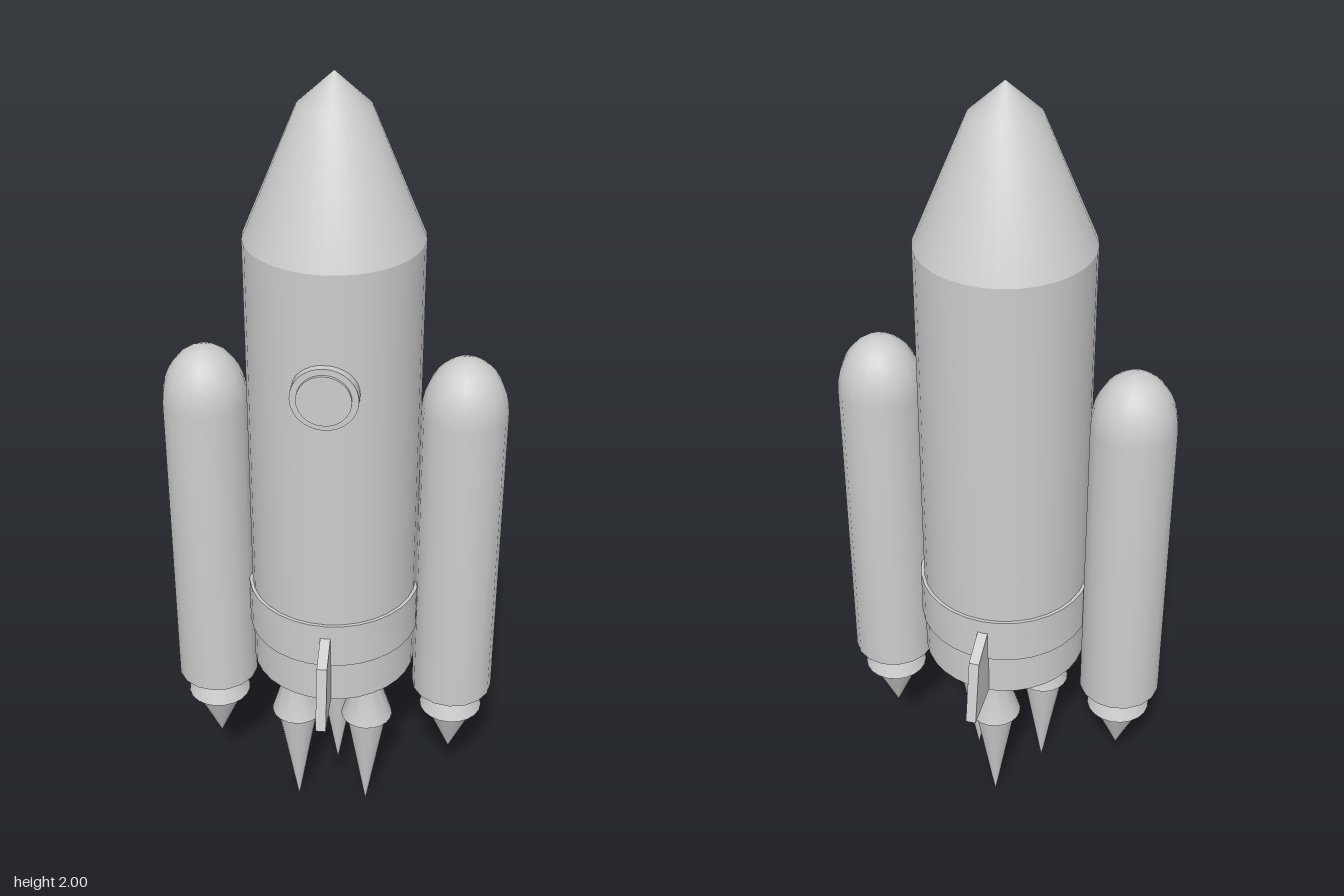
import * as THREE from 'three';
import { toCreasedNormals } from 'three/addons/utils/BufferGeometryUtils.js';

export function createModel() {
  const group = new THREE.Group();
  const grey = new THREE.MeshStandardMaterial({ color: 0xcccccc });
  grey.name = 'light grey';

  const add = (name, geometry, x = 0, y = 0, z = 0, parent = group) => {
    const mesh = new THREE.Mesh(geometry, grey);
    mesh.name = name;
    mesh.position.set(x, y, z);
    parent.add(mesh);
    return mesh;
  };
  // Turned part from [radius, height] pairs, listed bottom to top
  const turned = (profile, sides, crease = 0.6) => toCreasedNormals(
    new THREE.LatheGeometry(profile.map(([r, y]) => new THREE.Vector2(r, y)), sides), crease);

  // Central hull, nose and raised band
  add('hull', turned([[0, 0.477], [0.204, 0.477], [0.204, 1.63]], 32));
  add('noseCone', turned([[0.204, 1.63], [0.082, 1.925], [0, 2]], 32, 0.7));
  add('hullBand', turned([[0.2, 0.59], [0.212, 0.59], [0.212, 0.71], [0.2, 0.71]], 32));

  // Round porthole on the front
  const disc = (r, depth) => new THREE.CylinderGeometry(r, r, depth, 32).rotateX(Math.PI / 2);
  add('portholeRim', disc(0.077, 0.04), 0, 1.34, 0.2);
  add('portholePane', disc(0.062, 0.03), 0, 1.34, 0.212);

  // Fins on the front and back
  const finShape = new THREE.Shape([[0.18, 0.477], [0.323, 0.477], [0.288, 0.64], [0.2, 0.678], [0.18, 0.678]]
    .map(([x, y]) => new THREE.Vector2(x, y)));
  for (const [name, angle] of [['frontFin', -Math.PI / 2], ['backFin', Math.PI / 2]]) {
    const geometry = new THREE.ExtrudeGeometry(finShape, { depth: 0.025, bevelEnabled: false });
    add(name, geometry.translate(0, 0, -0.0125).rotateY(angle));
  }

  // Three main engines with their flames
  const mainNozzle = turned([[0, 0.312], [0.066, 0.312], [0.037, 0.41], [0.042, 0.48]], 20, 0.8);
  const mainFlame = turned([[0, 0], [0.053, 0.313]], 20);
  for (const [x, z] of [[-0.09, 0.052], [0.09, 0.052], [0, -0.102]]) {
    add('mainNozzle', mainNozzle, x, 0, z);
    add('mainFlame', mainFlame, x, 0, z);
  }

  // Side boosters with domed tops
  const boosterProfile = [[0, 0.392], [0.102, 0.392]];
  for (let i = 0; i <= 8; i++) {
    const a = (i / 8) * Math.PI / 2;
    boosterProfile.push([i === 8 ? 0 : 0.102 * Math.cos(a), 1.2 + 0.14 * Math.sin(a)]);
  }
  const boosterBody = turned(boosterProfile, 16, 0.8);
  const boosterNozzle = turned([[0, 0.32], [0.08, 0.32], [0.05, 0.393]], 20);
  const boosterFlame = turned([[0, 0.168], [0.067, 0.321]], 20);
  for (const side of [-1, 1]) {
    const booster = new THREE.Group();
    booster.name = side > 0 ? 'leftBooster' : 'rightBooster';
    booster.position.x = 0.305 * side;
    add('boosterBody', boosterBody, 0, 0, 0, booster);
    add('boosterNozzle', boosterNozzle, 0, 0, 0, booster);
    add('boosterFlame', boosterFlame, 0, 0, 0, booster);
    group.add(booster);
  }
  return group;
}
